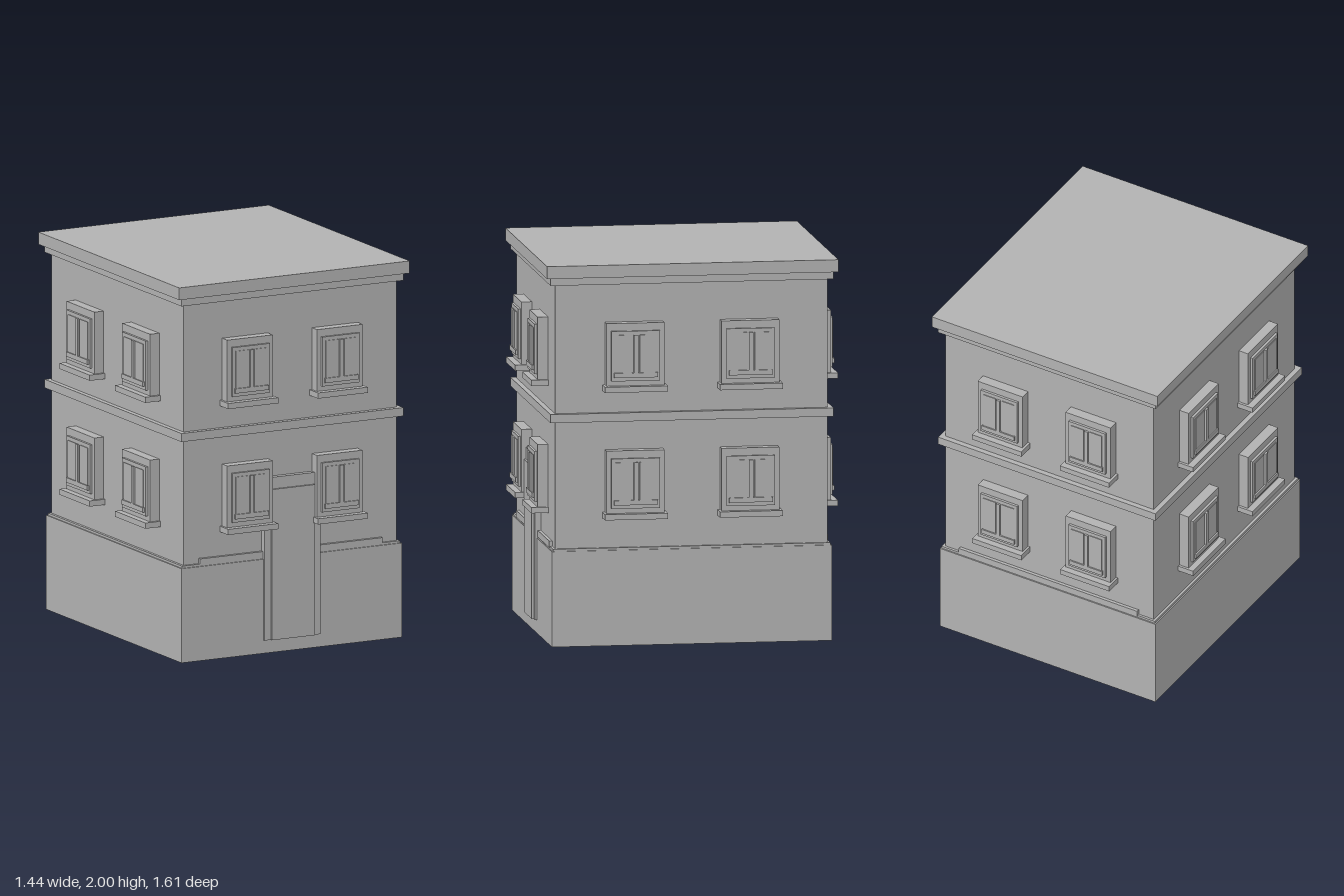
import * as THREE from 'three';

export function createModel() {
  const model = new THREE.Group();
  model.name = 'townHouse';
  const stone = new THREE.MeshStandardMaterial({ color: 0xb2b2b2 });
  stone.name = 'grey stone';

  // Box given by its extents on each axis
  const box = (parent, name, x0, x1, y0, y1, z0, z1) => {
    const mesh = new THREE.Mesh(new THREE.BoxGeometry(x1 - x0, y1 - y0, z1 - z0), stone);
    mesh.position.set((x0 + x1) / 2, (y0 + y1) / 2, (z0 + z1) / 2);
    mesh.name = name;
    parent.add(mesh);
    return mesh;
  };
  // Slab centred on the vertical axis
  const slab = (name, hx, hz, y0, y1) => box(model, name, -hx, hx, y0, y1, -hz, hz);

  // Stacked masses of the building
  slab('plinth', 0.65, 0.735, 0, 0.5);
  slab('plinthCap', 0.643, 0.728, 0.5, 0.512);
  slab('walls', 0.628, 0.715, 0.512, 1.895);
  slab('stringCourse', 0.655, 0.743, 1.175, 1.22);
  slab('corniceMoulding', 0.655, 0.743, 1.895, 1.935);
  slab('roofSlab', 0.68, 0.765, 1.935, 2);

  // Window facing +z with the wall at z = 0; h is half the frame width
  const makeWindow = (h) => {
    const g = new THREE.Group();
    g.name = 'window';
    const inner = h - 0.025;
    box(g, 'surround', -h, h, 0.028, 0.358, -0.01, 0.055);
    box(g, 'sill', -h - 0.013, h + 0.013, 0, 0.03, -0.01, 0.09);
    box(g, 'sash', -inner, inner, 0.056, 0.318, 0.05, 0.068);
    box(g, 'mullion', -0.011, 0.011, 0.1, 0.298, 0.06, 0.079);
    box(g, 'bottomRail', -inner + 0.012, inner - 0.012, 0.075, 0.1, 0.06, 0.079);
    for (const s of [-1, 1]) {
      const c = s * inner * 0.5;
      box(g, 'pane', c - inner * 0.34, c + inner * 0.34, 0.1, 0.298, 0.06, 0.072);
    }
    return g;
  };

  // Two windows per storey on each of the four walls
  const walls = [
    { name: 'front', angle: 0, dist: 0.715, offset: 0.265, half: 0.135 },
    { name: 'left', angle: Math.PI / 2, dist: 0.628, offset: 0.302, half: 0.152 },
    { name: 'back', angle: Math.PI, dist: 0.715, offset: 0.265, half: 0.135 },
    { name: 'right', angle: -Math.PI / 2, dist: 0.628, offset: 0.302, half: 0.152 },
  ];
  for (const w of walls) {
    const side = new THREE.Group();
    side.name = w.name + 'Windows';
    side.rotation.y = w.angle;
    for (const y of [0.668, 1.336]) {
      for (const s of [-1, 1]) {
        const win = makeWindow(w.half);
        win.position.set(s * w.offset, y, w.dist);
        side.add(win);
      }
    }
    model.add(side);
  }

  // Front door with jambs and lintel
  box(model, 'door', -0.128, 0.126, 0.07, 0.87, 0.7, 0.757);
  box(model, 'lintel', -0.167, 0.165, 0.87, 0.932, 0.7, 0.746);
  box(model, 'leftJamb', 0.126, 0.165, 0.07, 0.87, 0.7, 0.746);
  box(model, 'rightJamb', -0.167, -0.128, 0.07, 0.87, 0.7, 0.746);

  // Low ledges above the plinth, split by the door at the front
  box(model, 'frontLedgeRight', -0.538, -0.167, 0.505, 0.54, 0.7, 0.732);
  box(model, 'frontLedgeLeft', 0.165, 0.538, 0.505, 0.54, 0.7, 0.732);
  box(model, 'backLedge', -0.538, 0.538, 0.505, 0.54, -0.732, -0.7);

  return model;
}
